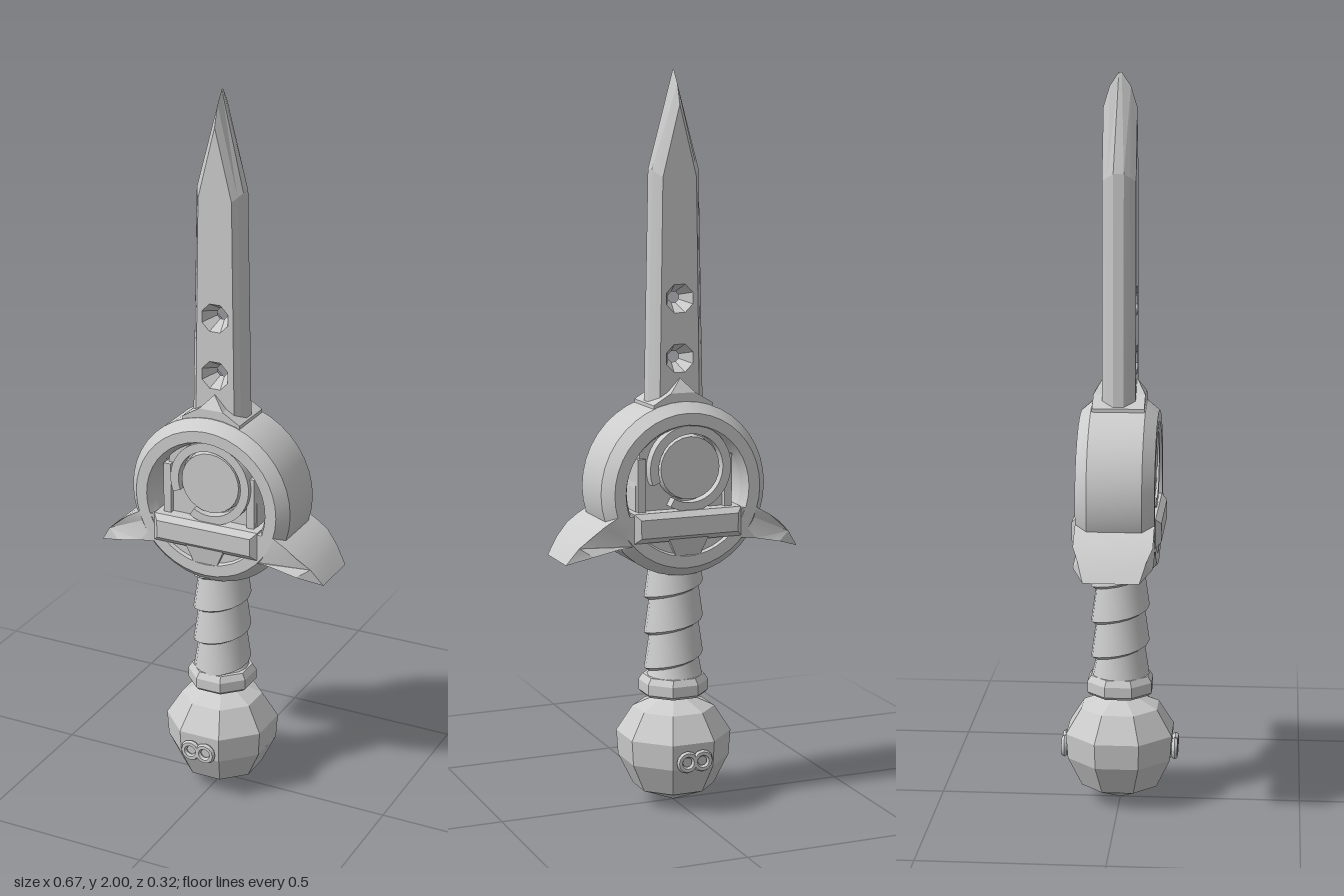
import * as THREE from 'three';
import { toCreasedNormals } from 'three/addons/utils/BufferGeometryUtils.js';

const metal = new THREE.MeshStandardMaterial({ color: 0xcccccc });
metal.name = 'light grey metal';

const v2 = (pts) => pts.map(([x, y]) => new THREE.Vector2(x, y));
// Right half of an outline, bottom to top, mirrored into a closed counter-clockwise loop
const mirrored = (half) => [...half, ...half.filter(([x]) => x > 0).reverse().map(([x, y, z]) => [-x, y, z])];
const circle = (x, y, r, n, z) => Array.from({ length: n }, (_, i) => {
  const a = -((i + 0.5) / n) * Math.PI * 2;
  return [x + r * Math.cos(a), y + r * Math.sin(a), z];
});

function add(parent, name, geometry, crease = 0.5) {
  const mesh = new THREE.Mesh(toCreasedNormals(geometry, crease), metal);
  mesh.name = name;
  parent.add(mesh);
}

// Quads between two rows of points
function strip(a, b, closed = true) {
  const p = [];
  const n = a.length;
  for (let i = 0; i < (closed ? n : n - 1); i++) {
    const j = (i + 1) % n;
    p.push(...a[i], ...b[i], ...b[j], ...a[i], ...b[j], ...a[j]);
  }
  const g = new THREE.BufferGeometry();
  g.setAttribute('position', new THREE.Float32BufferAttribute(p, 3));
  return g;
}

// Slab centred on z = 0, optionally chamfered
function slab(points, halfDepth, bevel = 0) {
  const d = 2 * (halfDepth - bevel);
  const g = new THREE.ExtrudeGeometry(new THREE.Shape(v2(points)), {
    depth: d, bevelEnabled: bevel > 0, bevelSize: bevel, bevelThickness: bevel, bevelSegments: 1,
  });
  return g.translate(0, 0, -d / 2);
}

// Scale z by a rule of x and y
function taper(g, rule) {
  const p = g.attributes.position;
  for (let i = 0; i < p.count; i++) p.setZ(i, p.getZ(i) * rule(p.getX(i), p.getY(i)));
  return g;
}

function lathe(profile, sides, phase = 0) {
  return new THREE.LatheGeometry(v2(profile), sides, phase);
}

// One face of the blade: flat panel, rounded bevels, edge and countersunk holes
function bladeSide() {
  const side = new THREE.Group();
  side.name = 'bladeSide';
  const flat = mirrored([[0.058, 1.06, 0.045], [0.048, 1.72, 0.045], [0, 1.91, 0.045]]);
  const middle = mirrored([[0.07, 1.06, 0.03], [0.058, 1.73, 0.03], [0, 1.965, 0.028]]);
  const outer = mirrored([[0.081, 1.06, 0.014], [0.067, 1.74, 0.014], [0, 2, 0.004]]);
  const panel = new THREE.Shape(v2(flat));
  for (const y of [1.24, 1.4]) {
    const rim = circle(0, y, 0.041, 8, 0.045);
    panel.holes.push(new THREE.Path(v2(rim)));
    add(side, 'bladeHole', strip(rim, circle(0, y, 0.016, 8, 0)), 0.1);
  }
  add(side, 'bladeFlat', new THREE.ShapeGeometry(panel).translate(0, 0, 0.045));
  add(side, 'bladeBevel', strip(flat, middle), 0.1);
  add(side, 'bladeOuterBevel', strip(middle, outer), 0.1);
  add(side, 'bladeEdge', strip(outer, outer.map(([x, y]) => [x, y, 0])), 0.1);
  return side;
}

// Details repeated on the front and back
function faceDetails() {
  const face = new THREE.Group();
  face.name = 'faceDetails';
  // Medallion with an open ring around it
  const disc = new THREE.CylinderGeometry(0.085, 0.09, 0.03, 24).rotateX(Math.PI / 2);
  add(face, 'medallion', disc.translate(0.01, 0.95, 0.08));
  const arc = new THREE.Shape();
  arc.absarc(0, 0, 0.117, -2.1, 3.5, false);
  arc.absarc(0, 0, 0.093, 3.5, -2.1, true);
  const ring = new THREE.ExtrudeGeometry(arc, { depth: 0.035, bevelEnabled: false, curveSegments: 20 });
  add(face, 'medallionRing', ring.translate(0.01, 0.95, 0.065));
  // Linked rings on the pommel
  for (const s of [-1, 1]) {
    const link = new THREE.TorusGeometry(0.022, 0.009, 6, 12).translate(s * 0.022, 0.153, 0.153);
    add(face, 'pommelLink', link, 1);
  }
  return face;
}

// Grip wrapped by a stepped spiral
function gripWrap(parent) {
  const pitch = 0.1, sides = 16, low = [], lip = [], top = [];
  const point = (a, r, y) => [r * Math.sin(a), THREE.MathUtils.clamp(y, 0.35, 0.7), r * Math.cos(a)];
  for (let i = 0; i <= sides * 5; i++) {
    const a = (i / sides) * Math.PI * 2;
    const y = 0.25 + (pitch * i) / sides;
    low.push(point(a, 0.068, y));
    lip.push(point(a, 0.081, y + 0.008));
    top.push(point(a, 0.068, y + pitch));
  }
  add(parent, 'gripLip', strip(lip, low, false));
  add(parent, 'gripWrap', strip(top, lip, false));
}

export function createModel() {
  const model = new THREE.Group();
  model.name = 'dagger';

  // Pommel, collar and grip
  const oct = Math.PI / 8;
  add(model, 'pommel', lathe([[0, 0], [0.112, 0.048], [0.153, 0.13], [0.158, 0.2], [0.113, 0.27], [0.05, 0.298], [0, 0.302]], 8, oct), 0.1);
  add(model, 'collar', lathe([[0, 0.305], [0.088, 0.308], [0.096, 0.316], [0.096, 0.345], [0.085, 0.362], [0, 0.362]], 8, oct), 0.1);
  add(model, 'gripCore', new THREE.CylinderGeometry(0.067, 0.067, 0.34, 16).translate(0, 0.53, 0));
  gripWrap(model);

  // Chamfered guard ring
  const ring = lathe([[0.165, -0.075], [0.178, -0.105], [0.21, -0.105], [0.237, -0.073], [0.237, 0.073],
    [0.21, 0.105], [0.178, 0.105], [0.165, 0.075], [0.165, -0.075]], 40);
  add(model, 'guardRing', ring.rotateX(Math.PI / 2).translate(0, 0.89, 0), 0.4);

  // Swept guard wings, thinner towards the tips
  const wing = [[0.13, 0.75], [0.16, 0.75], [0.2, 0.745], [0.27, 0.731], [0.337, 0.708],
    [0.305, 0.754], [0.27, 0.787], [0.24, 0.809], [0.2, 0.832], [0.13, 0.832]];
  const thin = (x) => 1 - 0.3 * Math.max(0, (Math.abs(x) - 0.27) / 0.067);
  for (const s of [-1, 1]) {
    const outline = wing.map(([x, y]) => [x * s, y]);
    add(model, s > 0 ? 'leftWing' : 'rightWing', taper(slab(outline, 0.105), thin));
  }

  // Cross bar, the bracket below it and the filled foot of the ring
  add(model, 'crossBar', slab(mirrored([[0.14, 0.772], [0.14, 0.822]]), 0.12, 0.015), 0.1);
  const bracket = slab(mirrored([[0.035, 0.715], [0.06, 0.77]]), 0.112);
  add(model, 'bracket', taper(bracket, (x, y) => (y < 0.75 ? 0.94 : 1)), 0.1);
  add(model, 'ringFoot', slab(mirrored([[0.08, 0.69], [0.15, 0.74], [0.16, 0.78]]), 0.095), 0.1);

  // Core inside the ring, with a raised frame
  const core = mirrored([[0.138, 0.76], [0.138, 0.9], [0.122, 1.02], [0.085, 1.08]]);
  add(model, 'core', slab(core, 0.07), 0.1);
  for (const s of [-1, 1]) {
    add(model, 'coreFrame', new THREE.BoxGeometry(0.022, 0.2, 0.17).translate(s * 0.125, 0.88, 0));
  }
  add(model, 'coreTop', slab(mirrored([[0.1, 1.05], [0.07, 1.085]]), 0.085), 0.1);

  // Peaked socket at the foot of the blade
  const socket = slab(mirrored([[0.085, 1.07], [0.085, 1.12], [0.035, 1.15], [0, 1.187]]), 0.07);
  add(model, 'bladeSocket', taper(socket, (x, y) => (y > 1.16 ? 0.68 : 1)), 0.1);

  // Both faces are the same, turned half way round
  for (const turn of [0, Math.PI]) {
    for (const part of [bladeSide(), faceDetails()]) {
      part.rotation.y = turn;
      model.add(part);
    }
  }
  return model;
}
